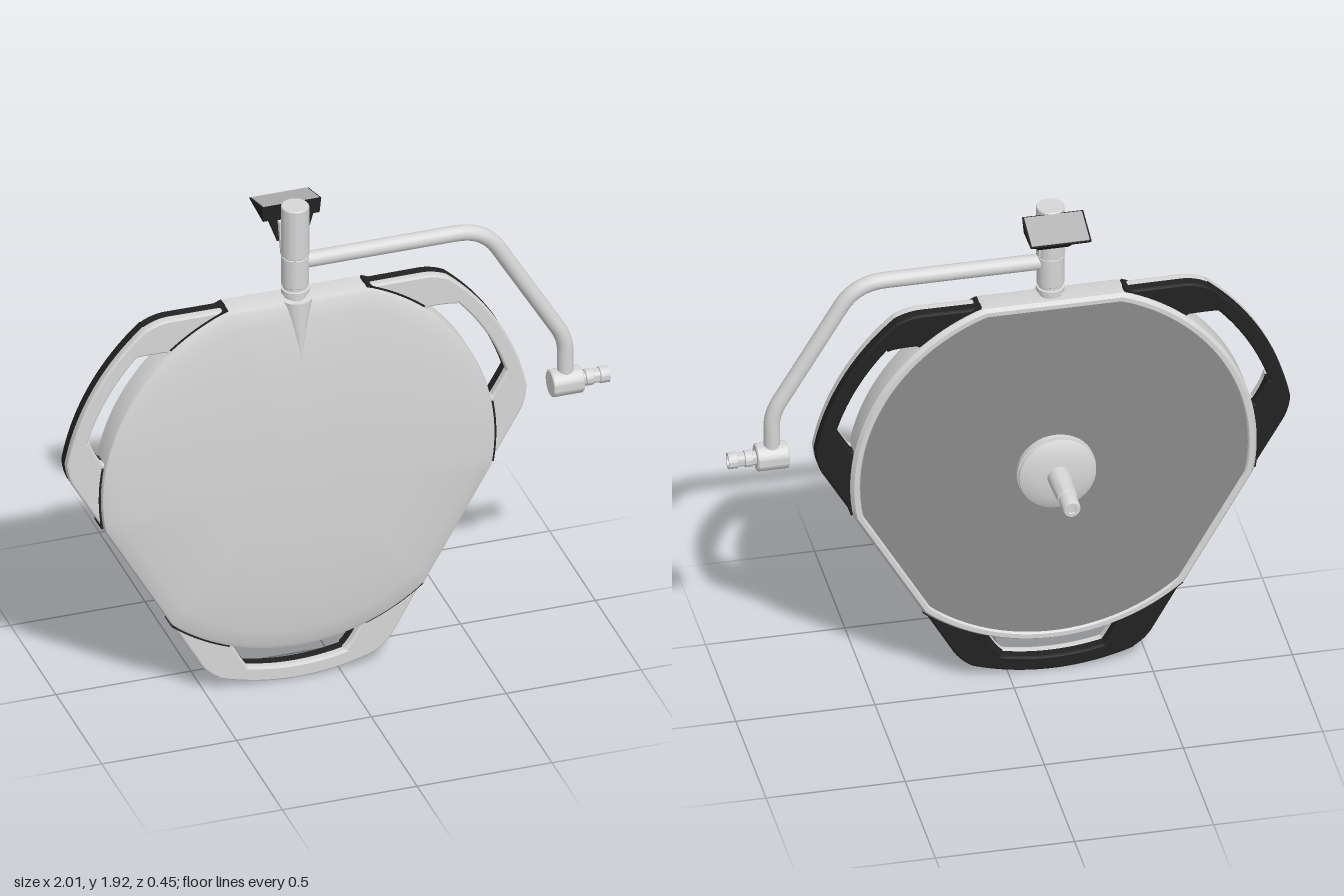
import * as THREE from 'three';
import { toCreasedNormals } from 'three/addons/utils/BufferGeometryUtils.js';
import { ConvexGeometry } from 'three/addons/geometries/ConvexGeometry.js';

const mat = (name, color, side = THREE.FrontSide) => {
  const m = new THREE.MeshStandardMaterial({ color, side });
  m.name = name;
  return m;
};
const CX = -0.16, CY = 0.87, R = 0.73, FLAT = 0.685; // lamp head centre, radius, distance to the flats
const rad = THREE.MathUtils.degToRad;

// Head outline: a circle cut by three flats at 90, 210 and 330 degrees
function outline(a) {
  const step = (2 * Math.PI) / 3;
  let d = (a - Math.PI / 2) % step;
  if (d > step / 2) d -= step;
  if (d < -step / 2) d += step;
  return Math.min(R, FLAT / Math.cos(d));
}

// Loft of scaled head outlines, rings listed from back to front as [scale, z]
function loftHead(rings, n = 144) {
  const pos = [], idx = [];
  for (const [s, z] of rings)
    for (let i = 0; i < n; i++) {
      const a = (i / n) * 2 * Math.PI, r = s * outline(a);
      pos.push(r * Math.cos(a), r * Math.sin(a), z);
    }
  for (let k = 0; k < rings.length - 1; k++)
    for (let i = 0; i < n; i++) {
      const a = k * n + i, b = k * n + ((i + 1) % n);
      idx.push(a, b, b + n, a, b + n, a + n);
    }
  const g = new THREE.BufferGeometry();
  g.setAttribute('position', new THREE.Float32BufferAttribute(pos, 3));
  g.setIndex(idx);
  return toCreasedNormals(g, 0.6);
}

function lathe(points, seg = 40) {
  const g = new THREE.LatheGeometry(points.map(p => new THREE.Vector2(...p)), seg);
  return toCreasedNormals(g, 0.6);
}

// Grip outline for the lower handle, with its finger opening
function handleShape() {
  const s = new THREE.Shape(), e = rad(39.5);
  s.absarc(0, 0, 0.70, -Math.PI / 2 + e, -Math.PI / 2 - e, true);
  s.lineTo(-0.465, -0.561);
  s.lineTo(-0.36, -0.745);
  s.quadraticCurveTo(-0.335, -0.789, -0.29, -0.815);
  const a = Math.atan2(0.815, 0.29);
  s.absarc(0, 0, 0.868, -Math.PI + a, -a, false);
  s.quadraticCurveTo(0.335, -0.789, 0.36, -0.745);
  s.lineTo(0.465, -0.561);
  const h = new THREE.Path(), b = rad(19), c = rad(13);
  h.absarc(0, 0, 0.716, -Math.PI / 2 - b, -Math.PI / 2 + b, false);
  h.lineTo(0.235, -0.70);
  h.quadraticCurveTo(0.20, -0.765, 0.175, -0.787);
  h.absarc(0, 0, 0.812, -Math.PI / 2 + c, -Math.PI / 2 - c, true);
  h.quadraticCurveTo(-0.20, -0.765, -0.235, -0.70);
  s.holes.push(h);
  return s;
}

export function createModel() {
  const model = new THREE.Group();
  const light = mat('light grey', 0xd6d6d6);
  const dark = mat('black rubber', 0x222222);
  const lensGrey = mat('lens grey', 0x8a8a8a);
  const screenGrey = mat('screen grey', 0xb4b4b4);
  const openLight = light.clone();
  openLight.name = 'light grey tube';
  openLight.side = THREE.DoubleSide;
  const add = (parent, name, g, m, x = 0, y = 0, z = 0) => {
    const mesh = new THREE.Mesh(g, m);
    mesh.name = name;
    mesh.position.set(x, y, z);
    parent.add(mesh);
    return mesh;
  };

  const head = new THREE.Group();
  head.name = 'lampHead';
  head.position.set(CX, CY, 0);
  model.add(head);

  // Domed housing with a lipped back rim
  add(head, 'housing', loftHead([
    [0.95, 0.086], [0.955, 0.075], [0.962, 0.069], [0.985, 0.069], [1, 0.084], [1, 0.165], [0.994, 0.177],
    [0.975, 0.183], [0.9, 0.193], [0.75, 0.206], [0.55, 0.216], [0.3, 0.223], [0, 0.225]]), light);
  add(head, 'lens', loftHead([[0, 0.077], [0.958, 0.077]]), lensGrey);

  // Tapered bulge running down the dome from the post
  const bulge = new THREE.ConeGeometry(0.06, 0.225, 32, 8, true);
  bulge.rotateX(Math.PI);
  const bp = bulge.attributes.position;
  for (let i = 0; i < bp.count; i++)
    bp.setZ(i, bp.getZ(i) + 0.145 + 0.065 * (0.5 - bp.getY(i) / 0.225));
  bulge.computeVertexNormals();
  add(head, 'postBulge', bulge, openLight, 0, FLAT - 0.1125, 0);

  // Three grips: black back shell, light front cover, dark seam at each end
  const shape = handleShape();
  const backShell = new THREE.ExtrudeGeometry(shape, {
    depth: 0.03, bevelThickness: 0.008, bevelSize: 0.008, bevelOffset: -0.008, bevelSegments: 2, curveSegments: 32 });
  const cover = new THREE.ExtrudeGeometry(shape, {
    depth: 0.02, bevelThickness: 0.009, bevelSize: 0.007, bevelOffset: -0.007, bevelSegments: 2, curveSegments: 32 });
  for (let i = 0; i < 3; i++) {
    const handle = new THREE.Group();
    handle.name = 'handle' + (i + 1);
    handle.rotation.z = (i * 2 * Math.PI) / 3;
    head.add(handle);
    add(handle, 'gripBack', backShell, dark, 0, 0, 0.099);
    add(handle, 'gripCover', cover, light, 0, 0, 0.134);
    for (const s of [-1, 1]) {
      const a0 = -Math.PI / 2 + s * rad(29.7) - rad(9.7), a1 = a0 + rad(19.4);
      const seam = new THREE.Shape();
      seam.absarc(0, 0, 0.737, a0, a1, false);
      seam.absarc(0, 0, 0.72, a1, a0, true);
      add(handle, 'seam', new THREE.ExtrudeGeometry(seam, { depth: 0.075, bevelEnabled: false, curveSegments: 16 }),
        dark, 0, 0, 0.09);
    }
  }

  // Rear hub and sterile handle
  const hub = lathe([[0.125, -0.08], [0.125, -0.055], [0.142, -0.052], [0.142, -0.032], [0.132, -0.03],
    [0.132, -0.025], [0.14, -0.022], [0.138, -0.014], [0.12, -0.005], [0.085, 0.003], [0.04, 0.008], [0, 0.009]]);
  hub.rotateX(-Math.PI / 2);
  add(head, 'hub', hub, light);
  const rod = lathe([[0.042, 0], [0.04, 0.07], [0.036, 0.15], [0.033, 0.152], [0.032, 0.218], [0.028, 0.224],
    [0.016, 0.224], [0.014, 0.22], [0, 0.22]], 32);
  rod.rotateX(-Math.PI / 2);
  add(head, 'centreHandle', rod, light, 0, 0.003, 0);

  // Vertical post
  add(model, 'post', lathe([[0.04, 1.54], [0.04, 1.57], [0.05, 1.572], [0.05, 1.588], [0.043, 1.59], [0.043, 1.6],
    [0.049, 1.605], [0.049, 1.718], [0.046, 1.72], [0.05, 1.724], [0.05, 1.918], [0.047, 1.922], [0, 1.922]]),
    light, CX, 0, 0.137);

  // Bent side arm
  const v = (x, y) => new THREE.Vector3(x, y, 0.137);
  const path = new THREE.CurvePath();
  path.add(new THREE.LineCurve3(v(-0.14, 1.692), v(0.43, 1.692)));
  path.add(new THREE.CubicBezierCurve3(v(0.43, 1.692), v(0.51, 1.692), v(0.56, 1.66), v(0.595, 1.6)));
  path.add(new THREE.LineCurve3(v(0.595, 1.6), v(0.81, 1.24)));
  path.add(new THREE.QuadraticBezierCurve3(v(0.81, 1.24), v(0.842, 1.19), v(0.842, 1.13)));
  path.add(new THREE.LineCurve3(v(0.842, 1.13), v(0.842, 1.02)));
  add(model, 'sideArm', new THREE.TubeGeometry(path, 90, 0.029, 20), light);

  // Pivot and hollow spigot at the arm end
  const pivot = lathe([[0, 0.785], [0.046, 0.785], [0.05, 0.789], [0.05, 0.896], [0.046, 0.9], [0.025, 0.9],
    [0.025, 0.912], [0.03, 0.914], [0.03, 0.94], [0.025, 0.942], [0.025, 0.965], [0.03, 0.967], [0.03, 1],
    [0.021, 1], [0.021, 0.96], [0, 0.96]], 32);
  pivot.rotateZ(-Math.PI / 2);
  add(model, 'armPivot', pivot, light, 0, 1.01, 0.137);

  // Control panel behind the post: tilted slab, tapering bracket, thin screen
  const panel = new THREE.Group();
  panel.name = 'controlPanel';
  panel.position.x = CX;
  model.add(panel);
  const hull = (name, loops, m) => add(panel, name, new ConvexGeometry(
    loops.flatMap(([w, y, z]) => [new THREE.Vector3(-w, y, z), new THREE.Vector3(w, y, z)])), m);
  hull('panelCase', [[0.11, 1.912, 0.1], [0.105, 1.85, 0.095], [0.11, 1.872, -0.043], [0.1, 1.86, -0.03]], dark);
  hull('panelBracket', [[0.085, 1.87, 0.1], [0.08, 1.865, -0.01], [0.06, 1.83, 0.03], [0.055, 1.765, 0.1],
    [0.055, 1.775, 0.085]], dark);
  const screen = add(panel, 'screen', new THREE.BoxGeometry(0.208, 0.004, 0.136), screenGrey, 0, 1.893, 0.029);
  screen.rotation.x = -Math.atan2(0.04, 0.143);
  // Slim bracket strap down the post sides
  hull('bracketStrap', [[0.053, 1.85, 0.12], [0.053, 1.85, 0.1], [0.046, 1.72, 0.11], [0.046, 1.72, 0.12]], light);

  return model;
}
